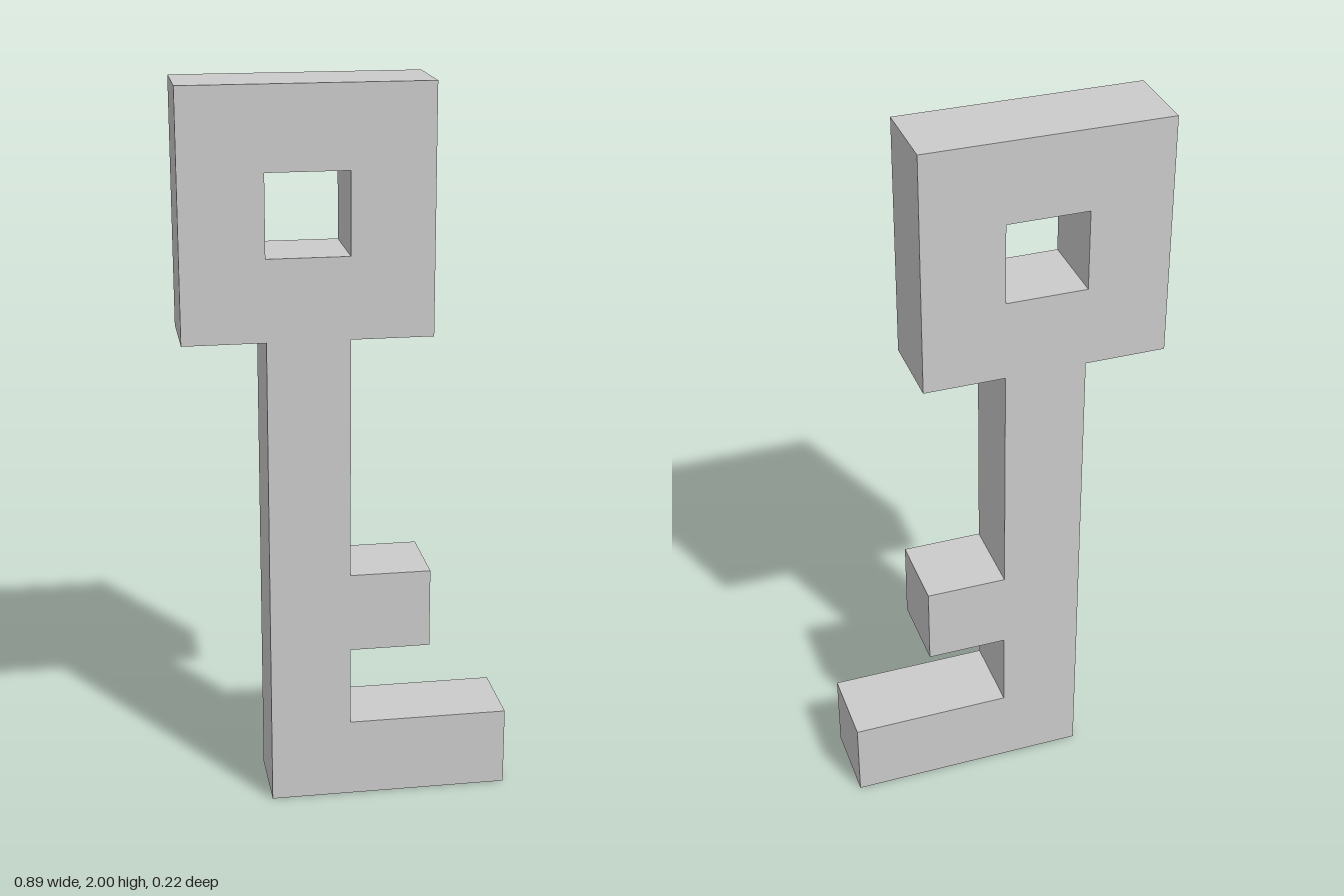
import * as THREE from 'three';

// The key sits on a square grid, nine cells tall and one cell thick
const CELL = 2 / 9;

const toPoints = (cells) => cells.map(([x, y]) => new THREE.Vector2(x * CELL, y * CELL));

export function createModel() {
  const group = new THREE.Group();
  group.name = 'key';

  // Outline: long tooth, short tooth, shaft and square bow
  const outline = new THREE.Shape(toPoints([
    [-1, 0], [2, 0], [2, 1], [0, 1],
    [0, 2], [1, 2], [1, 3], [0, 3],
    [0, 6], [1, 6], [1, 9], [-2, 9], [-2, 6], [-1, 6],
  ]));

  // Square hole through the bow
  outline.holes.push(new THREE.Path(toPoints([[-1, 7], [-1, 8], [0, 8], [0, 7]])));

  const geometry = new THREE.ExtrudeGeometry(outline, { depth: CELL, bevelEnabled: false });
  geometry.translate(0, 0, -CELL / 2);

  const body = new THREE.Mesh(
    geometry,
    new THREE.MeshStandardMaterial({ color: 0xcccccc, flatShading: true }),
  );
  body.name = 'keyBody';
  group.add(body);

  return group;
}
